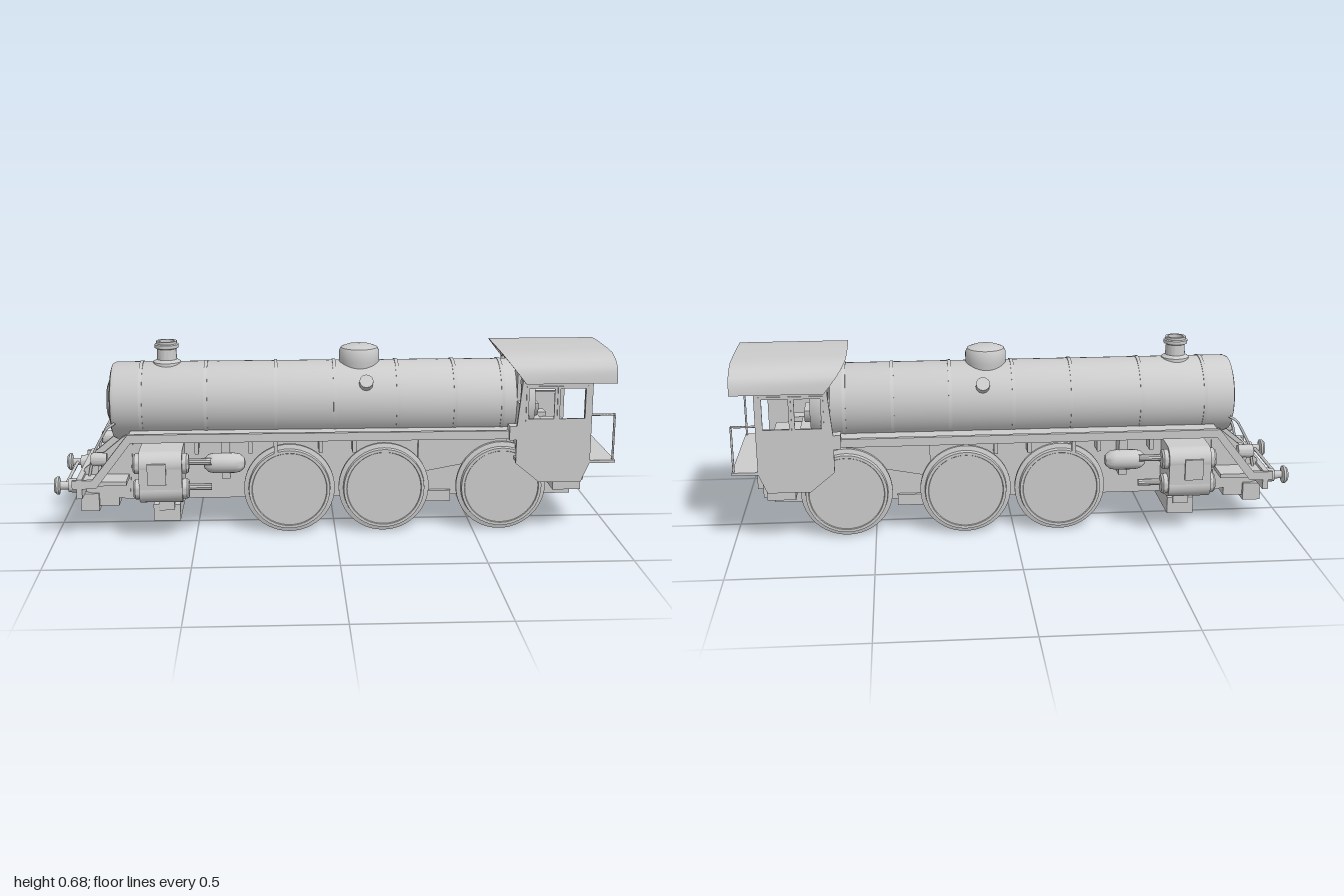
import * as THREE from 'three';
import { toCreasedNormals } from 'three/addons/utils/BufferGeometryUtils.js';

export function createModel() {
  const model = new THREE.Group();
  const mat = new THREE.MeshStandardMaterial({ color: 0xcccccc, side: THREE.DoubleSide });

  const add = (name, geo) => {
    const m = new THREE.Mesh(geo, mat);
    m.name = name;
    model.add(m);
    return m;
  };
  // Box given by its extents
  const box = (name, x0, x1, y0, y1, z0, z1) =>
    add(name, new THREE.BoxGeometry(x1 - x0, y1 - y0, z1 - z0)
      .translate((x0 + x1) / 2, (y0 + y1) / 2, (z0 + z1) / 2));
  const sideBox = (name, x0, x1, y0, y1, z0, z1) => {
    box(name, x0, x1, y0, y1, z0, z1);
    box(name, x0, x1, y0, y1, -z1, -z0);
  };
  const lathe = (pts, seg = 40) => toCreasedNormals(
    new THREE.LatheGeometry(pts.map(p => new THREE.Vector2(p[0], p[1])), seg), 0.6);
  // Turned part lying along x; profile is [radius, x]
  const latheX = (name, pts, y, z, seg) =>
    add(name, lathe(pts, seg).rotateZ(-Math.PI / 2).translate(0, y, z));
  const poly = pts => new THREE.Shape(pts.map(p => new THREE.Vector2(p[0], p[1])));
  const rect = (x0, x1, y0, y1) => poly([[x0, y0], [x1, y0], [x1, y1], [x0, y1]]);
  // Side profile (x, y) pulled between two z values
  const extrudeZ = (name, shape, z0, z1) =>
    add(name, new THREE.ExtrudeGeometry(shape, { depth: z1 - z0, bevelEnabled: false }).translate(0, 0, z0));
  const sideExtrude = (name, shape, z0, z1) => {
    extrudeZ(name, shape, z0, z1);
    extrudeZ(name, shape, -z1, -z0);
  };
  // Cross profile (z, y) pulled between two x values
  const extrudeX = (shape, x0, x1) =>
    new THREE.ExtrudeGeometry(shape, { depth: x1 - x0, bevelEnabled: false, curveSegments: 16 })
      .rotateY(Math.PI / 2).translate(x0, 0, 0);
  const tube = (name, pts, r) => add(name, new THREE.TubeGeometry(
    new THREE.CatmullRomCurve3(pts.map(p => new THREE.Vector3(...p)), false, 'catmullrom', 0.2), 24, r, 6));

  // Boiler with smokebox front and tapered backhead
  const by = 0.463;
  latheX('boiler', [[0, -0.8], [0.12, -0.8], [0.134, -0.795], [0.14, -0.782],
    [0.14, 0.68], [0.119, 0.72], [0, 0.72]], by, 0, 56);
  latheX('smokeboxDoor', [[0, -0.82], [0.055, -0.817], [0.08, -0.808], [0.085, -0.797]], by, 0);
  for (const x of [-0.69, -0.46, -0.21, 0, 0.225, 0.43, 0.6])
    latheX('boilerBand', [[0.139, x - 0.006], [0.143, x - 0.006], [0.143, x + 0.006], [0.139, x + 0.006]], by, 0, 56);

  // Chimney, dome and clack valves
  add('chimney', lathe([[0.052, 0.585], [0.05, 0.605], [0.036, 0.614], [0.034, 0.652], [0.043, 0.656],
    [0.043, 0.668], [0.037, 0.671], [0.037, 0.68], [0.028, 0.68], [0.028, 0.62], [0, 0.62]]).translate(-0.6, 0, 0));
  add('dome', lathe([[0.068, 0.57], [0.073, 0.605], [0.073, 0.638], [0.066, 0.652], [0.045, 0.66], [0, 0.663]])
    .translate(0.092, 0, 0));
  for (const s of [1, -1]) {
    const valve = add('clackValve', new THREE.CylinderGeometry(0.025, 0.025, 0.05, 12));
    valve.position.set(0.11, 0.54, s * 0.118);
    valve.rotation.x = s * 0.95;
  }

  // Main frame, saddle and firebox
  box('frame', -0.74, 0.86, 0.12, 0.36, -0.1, 0.1);
  box('smokeboxSaddle', -0.7, -0.52, 0.3, 0.4, -0.1, 0.1);
  sideExtrude('firebox', poly([[0.3, 0.21], [0.62, 0.27], [0.62, 0.36], [0.3, 0.36]]), 0.1, 0.118);
  box('ashpan', 0.33, 0.42, 0.1, 0.14, -0.115, 0.115);
  for (const x of [-0.5, -0.4, -0.31, -0.22, -0.06, 0.06])
    sideBox('frameStay', x, x + 0.014, 0.3, 0.37, 0.09, 0.16);

  // Driving wheels with flanges, plus axles
  for (const x of [-0.165, 0.175, 0.6]) {
    for (const s of [1, -1]) {
      const g = lathe([[0, 0.122], [0.163, 0.122], [0.163, 0.135], [0.147, 0.139], [0.145, 0.157],
        [0.135, 0.157], [0.133, 0.153], [0, 0.153]], 48).rotateX(s * Math.PI / 2);
      add('wheel', g).position.set(x, 0.163, 0);
    }
    add('axle', new THREE.CylinderGeometry(0.025, 0.025, 0.26, 16).rotateX(Math.PI / 2).translate(x, 0.163, 0));
  }

  // Running boards with ramps to the front platform
  box('runningBoard', -0.73, 0.64, 0.36, 0.375, -0.205, 0.205);
  const ramp = t => poly([[-0.93, 0.222], [-0.86, 0.222], [-0.73, 0.386], [0.64, 0.386],
    [0.64, 0.386 - t], [-0.72, 0.386 - t], [-0.846, 0.222 - t], [-0.93, 0.222 - t]]);
  sideExtrude('valance', ramp(0.03), 0.196, 0.212);
  sideExtrude('frontRamp', poly([[-0.86, 0.21], [-0.845, 0.21], [-0.72, 0.365], [-0.73, 0.375]]), 0.13, 0.2);
  sideBox('boardEnd', 0.61, 0.66, 0.355, 0.405, 0.18, 0.225);

  // Front platform, sloping frames and buffer beam
  box('frontPlatform', -0.91, -0.74, 0.2, 0.215, -0.205, 0.205);
  sideExtrude('frontFrame', poly([[-0.9, 0.15], [-0.74, 0.12], [-0.72, 0.37], [-0.76, 0.35], [-0.9, 0.235]]), 0.088, 0.105);
  extrudeZ('slopingPlate', poly([[-0.87, 0.215], [-0.855, 0.215], [-0.73, 0.325], [-0.73, 0.34]]), -0.09, 0.09);
  box('frontStep', -0.87, -0.83, 0.21, 0.26, -0.035, 0.02);
  box('bufferBeam', -0.915, -0.895, 0.155, 0.225, -0.21, 0.21);
  box('lowerGuard', -0.915, -0.85, 0.08, 0.145, -0.115, 0.115);
  box('guardBack', -0.87, -0.78, 0.095, 0.15, -0.1, 0.1);
  add('couplingBar', new THREE.CylinderGeometry(0.006, 0.006, 0.3, 8).rotateX(Math.PI / 2).translate(-0.96, 0.19, 0));
  for (const s of [1, -1]) {
    latheX('buffer', [[0, -1], [0.025, -0.998], [0.032, -0.99], [0.032, -0.982], [0.014, -0.978],
      [0.014, -0.95], [0.024, -0.948], [0.027, -0.91]], 0.19, s * 0.155, 20);
    // Lamps and curved front handrails
    latheX('lamp', [[0, -0.865], [0.022, -0.865], [0.025, -0.855], [0.022, -0.81], [0, -0.81]], 0.285, s * 0.155, 16);
    box('lampBracket', -0.842, -0.83, 0.21, 0.27, s * 0.155 - 0.01, s * 0.155 + 0.01);
    tube('frontHandrail', [[-0.78, 0.41, s * 0.135], [-0.81, 0.39, s * 0.135], [-0.86, 0.3, s * 0.12], [-0.88, 0.21, s * 0.12]], 0.005);
  }

  // Cylinder blocks: main cylinder below, valve chest above
  for (const s of [1, -1]) {
    for (const y of [0.192, 0.284]) {
      latheX('cylinder', [[0, -0.712], [0.03, -0.712], [0.036, -0.705], [0.036, -0.69], [0.047, -0.69],
        [0.047, -0.54], [0.036, -0.54], [0.036, -0.525], [0.03, -0.518], [0, -0.518]], y, s * 0.218, 28);
      latheX('cylinderRod', [[0.012, -0.53], [0.012, -0.44]], y, s * 0.2, 10);
    }
    latheX('airTank', [[0, -0.47], [0.018, -0.466], [0.032, -0.45], [0.036, -0.43], [0.036, -0.36],
      [0.032, -0.34], [0.018, -0.324], [0, -0.32]], 0.27, s * 0.17, 20);
  }
  sideBox('cylinderCasing', -0.69, -0.54, 0.192, 0.284, 0.09, 0.264);
  sideBox('cylinderTop', -0.69, -0.54, 0.28, 0.331, 0.09, 0.218);
  sideBox('cylinderBottom', -0.69, -0.54, 0.146, 0.2, 0.09, 0.218);
  sideBox('inspectionPlate', -0.66, -0.595, 0.22, 0.295, 0.26, 0.272);
  sideBox('tankBracket', -0.405, -0.375, 0.21, 0.37, 0.1, 0.165);
  box('crossBeam', -0.65, -0.555, 0.06, 0.12, -0.175, 0.175);
  sideBox('beamHanger', -0.63, -0.575, 0.1, 0.16, 0.1, 0.18);

  // Cab sides with two windows each
  const side = poly([[0.635, 0.27], [0.72, 0.2], [0.87, 0.2], [0.9, 0.27], [0.9, 0.6], [0.655, 0.6], [0.635, 0.4]]);
  side.holes.push(rect(0.672, 0.768, 0.43, 0.542), rect(0.782, 0.876, 0.43, 0.542));
  sideExtrude('cabSide', side, 0.214, 0.225);
  for (const x of [0.672, 0.782]) {
    const frame = rect(x - 0.007, x + 0.102, 0.423, 0.549);
    frame.holes.push(rect(x + 0.002, x + 0.092, 0.432, 0.54));
    sideExtrude('windowFrame', frame, 0.223, 0.229);
  }

  // Cab front wall with windows beside the boiler
  const wall = poly([[-0.218, 0.27], [0.218, 0.27], [0.218, 0.6], [0.16, 0.642], [-0.16, 0.642], [-0.218, 0.6]]);
  for (const s of [1, -1])
    wall.holes.push(poly([[s * 0.143, 0.478], [s * 0.206, 0.478], [s * 0.206, 0.572], [s * 0.18, 0.582], [s * 0.143, 0.587]]));
  add('cabFront', extrudeX(wall, 0.648, 0.66));

  // Curved roof, its leading edge raked back towards the eaves
  const outer = [[0.243, 0.56], [0.24, 0.595], [0.228, 0.618], [0.2, 0.638], [0.15, 0.652], [0.08, 0.655]];
  const inner = [[0.08, 0.638], [0.14, 0.636], [0.19, 0.623], [0.214, 0.606], [0.224, 0.588], [0.228, 0.56]];
  const half = [...outer, ...inner];
  const flip = a => a.map(([z, y]) => [-z, y]).reverse();
  const roofGeo = extrudeX(poly([...half.slice(0, 6), ...flip(outer), ...flip(inner), ...inner]), 0.585, 0.98);
  const p = roofGeo.attributes.position;
  for (let i = 0; i < p.count; i++)
    if (p.getX(i) < 0.7) p.setX(i, 0.585 + (0.655 - p.getY(i)) / 0.095 * 0.075);
  add('cabRoof', toCreasedNormals(roofGeo, 0.6));

  // Cab floor, drag box and rear coupling
  box('cabFloor', 0.64, 0.99, 0.268, 0.278, -0.225, 0.225);
  box('dragBox', 0.775, 0.875, 0.165, 0.27, -0.203, 0.203);
  box('rearCouplingBox', 0.82, 0.9, 0.135, 0.27, -0.088, 0.088);
  box('drawbar', 0.9, 0.925, 0.15, 0.207, -0.038, 0.038);

  // Cab interior: firebox, shelf, side cabinets and seats
  box('backheadBase', 0.66, 0.76, 0.278, 0.385, -0.088, 0.088);
  const shelf = new THREE.Shape();
  shelf.absarc(0, 0.447, 0.057, Math.PI, Math.PI * 2, false);
  add('fireDoor', extrudeX(shelf, 0.71, 0.745));
  sideBox('cabinet', 0.655, 0.72, 0.278, 0.345, 0.088, 0.215);
  sideBox('upperCabinet', 0.655, 0.68, 0.345, 0.44, 0.105, 0.215);
  sideExtrude('seat', poly([[0.74, 0.278], [0.79, 0.278], [0.81, 0.32], [0.81, 0.373], [0.72, 0.373], [0.72, 0.32]]), 0.117, 0.172);

  // Rear handrails
  for (const s of [1, -1])
    tube('cabHandrail', [[0.9, 0.443, s * 0.219], [0.97, 0.443, s * 0.219], [0.984, 0.443, s * 0.213],
      [0.984, 0.43, s * 0.212], [0.984, 0.275, s * 0.212]], 0.004);

  return model;
}
